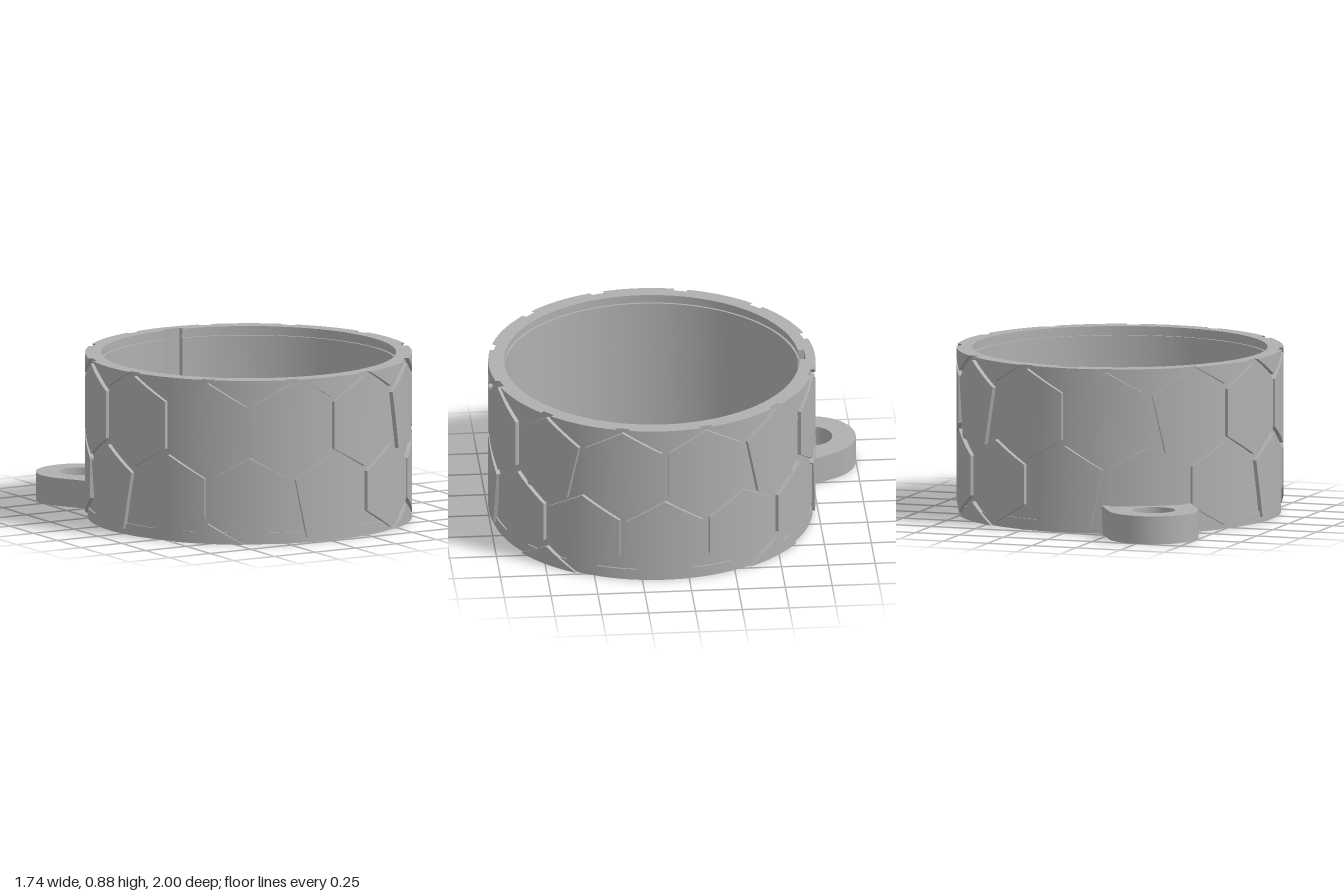
import * as THREE from 'three';
import { toCreasedNormals } from 'three/addons/utils/BufferGeometryUtils.js';

const R = 0.87;        // outer radius of raised panels
const CORE = 0.848;    // radius at the bottom of the grooves
const INNER = 0.785;
const H = 0.885;
const GAP = 0.017;     // half the groove width
const DEG = Math.PI / 180;

// Shrink a counter-clockwise convex polygon by distance d
function inset(pts, d) {
  const lines = pts.map((p, i) => {
    const q = pts[(i + 1) % pts.length];
    const dir = q.clone().sub(p).normalize();
    return { p: p.clone().add(new THREE.Vector2(-dir.y, dir.x).multiplyScalar(d)), dir };
  });
  return lines.map((b, i) => {
    const a = lines[(i + lines.length - 1) % lines.length];
    const t = b.p.clone().sub(a.p).cross(b.dir) / a.dir.cross(b.dir);
    return a.p.clone().addScaledVector(a.dir, t);
  });
}

// Wrap a convex outline of [degrees, height] onto the cylinder as a raised panel
function panelGeometry(outline) {
  const poly = inset(outline.map(([a, y]) => new THREE.Vector2(a * DEG * R, y)), GAP);
  const xs = poly.map(p => p.x);
  const min = Math.min(...xs), max = Math.max(...xs);
  for (let i = 1; i < 14; i++) xs.push(min + (max - min) * i / 14);
  xs.sort((a, b) => a - b);
  const cols = xs.filter((x, i) => i === 0 || x - xs[i - 1] > 1e-5).map(x => {
    const ys = [];
    poly.forEach((p, i) => {
      const q = poly[(i + 1) % poly.length];
      if (Math.abs(p.x - x) < 1e-5) ys.push(p.y);
      if ((p.x - x) * (q.x - x) < 0) ys.push(p.y + (q.y - p.y) * (x - p.x) / (q.x - p.x));
    });
    const lo = Math.min(...ys), hi = Math.max(...ys), a = x / R;
    const at = (r, y) => [r * Math.sin(a), y, r * Math.cos(a)];
    return [at(CORE - 0.01, lo), at(R, lo), at(R, hi), at(CORE - 0.01, hi)];
  });
  const pos = [];
  const quad = (a, b, c, d) => pos.push(...a, ...b, ...c, ...a, ...c, ...d);
  for (let i = 0; i < cols.length - 1; i++) {
    const p = cols[i], q = cols[i + 1];
    for (let j = 0; j < 3; j++) quad(p[j], q[j], q[j + 1], p[j + 1]);
  }
  const last = cols[cols.length - 1];
  quad(...cols[0]);
  quad(last[3], last[2], last[1], last[0]);
  const g = new THREE.BufferGeometry();
  g.setAttribute('position', new THREE.Float32BufferAttribute(pos, 3));
  return toCreasedNormals(g, 0.5);
}

// Extrude a plan shape (x, -z) upward from y0 to y1
function slab(shape, y0, y1) {
  const g = new THREE.ExtrudeGeometry(shape, { depth: y1 - y0, bevelEnabled: false, curveSegments: 96 });
  g.rotateX(-Math.PI / 2);
  g.translate(0, y0, 0);
  return toCreasedNormals(g, 0.5);
}

// Wall section in plan, optionally with the key slot at the back
function ringShape(inner, slot) {
  const s = new THREE.Shape().absarc(0, 0, CORE, 0, Math.PI * 2, false);
  const hole = new THREE.Path();
  if (slot) {
    const w = 0.055, d = INNER + 0.032, a = Math.asin(w / inner);
    hole.absarc(0, 0, inner, Math.PI / 2 + a, Math.PI * 2.5 - a, false);
    hole.lineTo(w, d);
    hole.lineTo(-w, d);
    hole.closePath();
  } else {
    hole.absarc(0, 0, inner, 0, Math.PI * 2, false);
  }
  s.holes.push(hole);
  return s;
}

export function createModel() {
  const model = new THREE.Group();
  model.name = 'panelledCup';
  const grey = new THREE.MeshStandardMaterial({ color: 0xb0b0b0 });
  grey.name = 'plainGrey';
  const cup = new THREE.Group();
  cup.name = 'cup';
  cup.position.z = 0.13;
  model.add(cup);
  const add = (name, geometry, angle = 0) => {
    const m = new THREE.Mesh(geometry, grey);
    m.name = name;
    m.rotation.y = angle * DEG;
    cup.add(m);
  };

  // Floor and wall, with a slot and a shallow groove inside the rim
  const disc = new THREE.Shape().absarc(0, 0, CORE + 0.008, 0, Math.PI * 2, false);
  add('floor', slab(disc, 0, 0.06));
  add('lowerWall', slab(ringShape(INNER, false), 0.06, 0.53));
  add('slottedWall', slab(ringShape(INNER, true), 0.53, 0.835));
  add('rimGroove', slab(ringShape(INNER + 0.012, true), 0.835, 0.855));
  add('rim', slab(ringShape(INNER, true), 0.855, H));

  // Raised panels, repeated in each quarter
  const upperHex = panelGeometry([[0, 0.36], [15, 0.485], [15, 0.76], [0, H], [-15, 0.76], [-15, 0.485]]);
  const upperPent = panelGeometry([[-9.8, 0.412], [9.8, 0.412], [15, 0.75], [0, H], [-15, 0.75]]);
  const lowerHex = panelGeometry([[0, 0], [15, 0.125], [15, 0.36], [0, 0.485], [-15, 0.36], [-15, 0.125]]);
  const lowerPent = panelGeometry([[-10.4, 0.012], [10.4, 0.012], [15, 0.35], [0, 0.485], [-15, 0.35]]);
  const topTri = panelGeometry([[0, 0.76], [17.04, H + GAP], [-17.04, H + GAP]]);
  const bottomTri = panelGeometry([[-17.04, -GAP], [17.04, -GAP], [0, 0.125]]);
  for (let q = 0; q < 360; q += 90) {
    add('upperHexPanel', upperHex, q + 15);
    add('upperHexPanel', upperHex, q + 75);
    add('upperPentagonPanel', upperPent, q + 45);
    add('lowerPentagonPanel', lowerPent, q);
    add('lowerHexPanel', lowerHex, q + 30);
    add('lowerHexPanel', lowerHex, q + 60);
    for (const a of [0, 30, 60]) add('rimPanel', topTri, q + a);
    add('basePanel', bottomTri, q + 45);
  }

  // Ring lug at the back: rounded tab pointing away from the cup
  const tab = new THREE.Shape();
  tab.moveTo(-0.24, -0.226);
  tab.lineTo(0.24, -0.226);
  tab.absarc(0, 0, 0.24, 0, Math.PI, false);
  tab.closePath();
  tab.holes.push(new THREE.Path().absarc(0, 0, 0.115, 0, Math.PI * 2, false));
  const lug = new THREE.Mesh(slab(tab, 0, 0.15), grey);
  lug.name = 'ringLug';
  lug.position.set(-0.51, 0, -0.76);
  lug.rotation.y = Math.atan2(0.51, 0.89);
  model.add(lug);
  return model;
}
